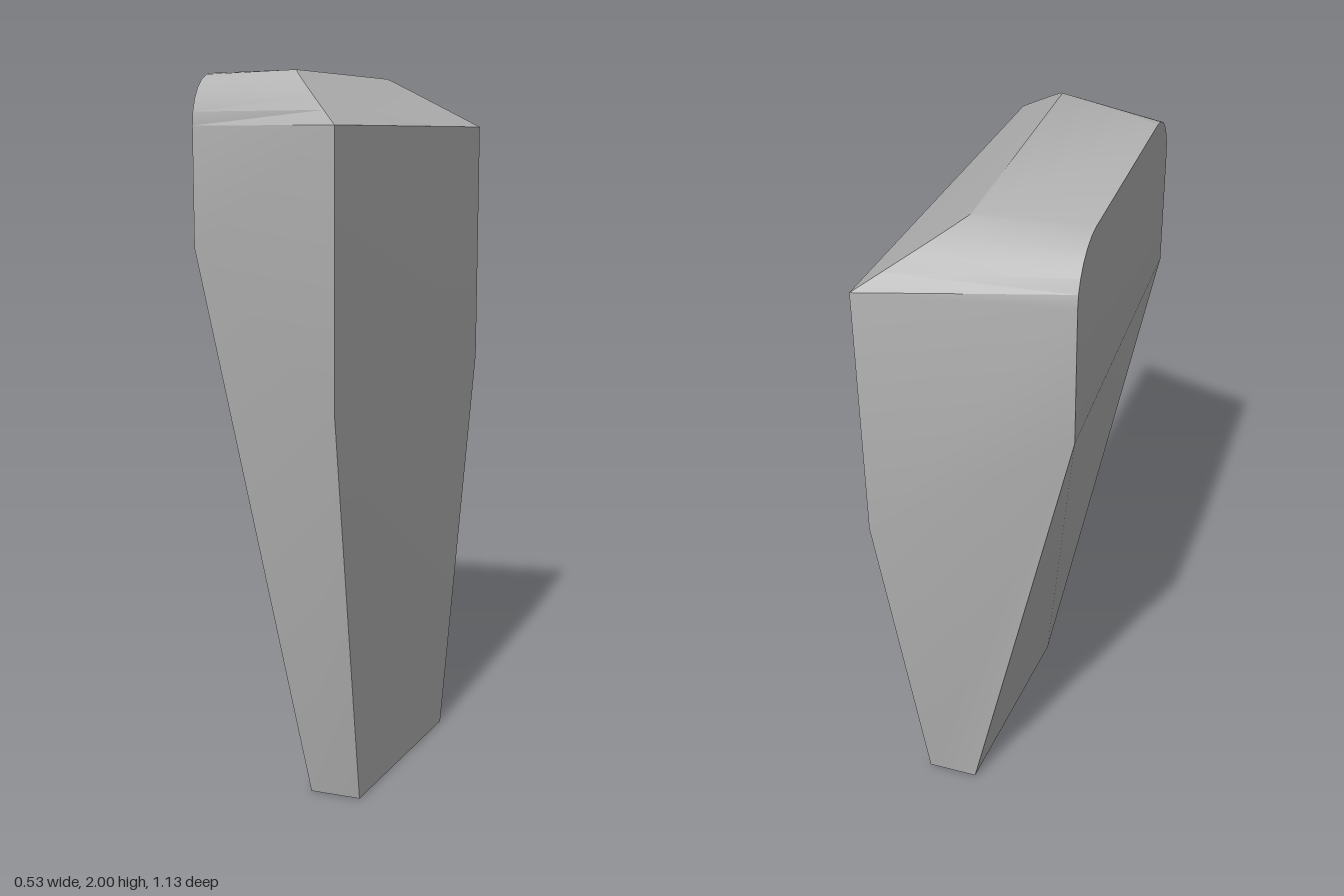
import * as THREE from 'three';
import { toCreasedNormals } from 'three/addons/utils/BufferGeometryUtils.js';

const stone = new THREE.MeshStandardMaterial({ color: 0xb3b3b3 });
stone.name = 'grey';

// Rounded shoulder of the narrow side: from the side edge up to the flat top
function roundShoulder(zSide, zTop, steps) {
  return Array.from({ length: steps + 1 }, (_, i) => {
    const a = (i / steps) * Math.PI / 2;
    return [-0.265, 1.86 + 0.14 * Math.sin(a), zTop + (zSide - zTop) * Math.cos(a)];
  });
}

// Edge of the sloping bevel on the broad side: from its corner up to the ridge
function bevelEdge(corner, ridge, steps) {
  return Array.from({ length: steps + 1 }, (_, i) => {
    const t = i / steps;
    const rise = Math.sin(t * Math.PI / 2);
    const run = 0.8 * rise + 0.2 * t;
    return [
      corner[0] + (ridge[0] - corner[0]) * rise,
      corner[1] + (ridge[1] - corner[1]) * rise,
      corner[2] + (ridge[2] - corner[2]) * run,
    ];
  });
}

function createBlockGeometry() {
  const steps = 6;
  // Both outlines run front bottom -> front kink -> top -> back kink -> back bottom
  const narrow = [
    [0.035, 0, 0.295], [-0.265, 1.54, 0.375],
    ...roundShoulder(0.375, 0.25, steps),
    ...roundShoulder(-0.475, -0.33, steps).reverse(),
    [-0.265, 1.48, -0.475], [0.08, 0, -0.33],
  ];
  const broad = [
    [0.18, 0, 0.295], [0.205, 1.15, 0.562],
    ...bevelEdge([0.205, 1.86, 0.562], [0.03, 2, 0.37], steps),
    ...bevelEdge([0.262, 1.86, -0.565], [0.03, 2, -0.355], steps).reverse(),
    [0.262, 1.15, -0.565], [0.23, 0, -0.33],
  ];
  const n = narrow.length;
  const positions = [];
  const quad = (a, b, c, d) => positions.push(...a, ...b, ...c, ...a, ...c, ...d);

  // Walls joining the outlines, including the underside
  for (let i = 0; i < n; i++) {
    const j = (i + 1) % n;
    quad(narrow[i], broad[i], broad[j], narrow[j]);
  }
  // Side faces, filled by strips from front to back
  for (let i = 0; i < n / 2 - 1; i++) {
    const j = n - 1 - i;
    quad(narrow[i], narrow[i + 1], narrow[j - 1], narrow[j]);
    quad(broad[j], broad[j - 1], broad[i + 1], broad[i]);
  }
  const geometry = new THREE.BufferGeometry();
  geometry.setAttribute('position', new THREE.Float32BufferAttribute(positions, 3));
  return toCreasedNormals(geometry, 0.5);
}

export function createModel() {
  const model = new THREE.Group();
  model.name = 'taperedBlock';
  const block = new THREE.Mesh(createBlockGeometry(), stone);
  block.name = 'block';
  model.add(block);
  return model;
}
